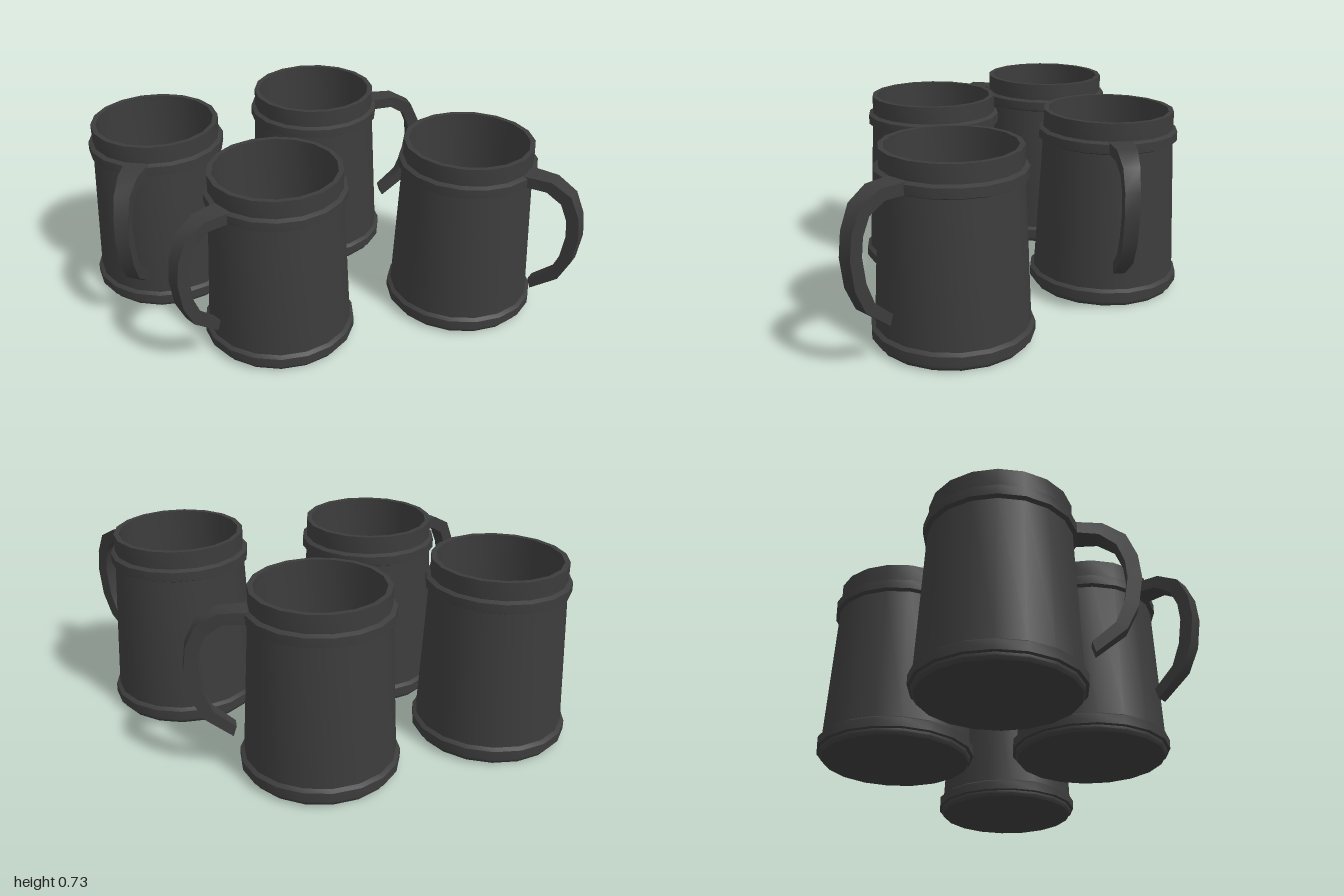
import * as THREE from 'three';
import { toCreasedNormals } from 'three/addons/utils/BufferGeometryUtils.js';

const material = new THREE.MeshStandardMaterial({ color: 0x3c3c3c });

// Tankard wall: underside, foot band, tapered body, upper band, rim, hollow inside
function bodyGeometry() {
  const profile = [
    [0, 0], [0.28, 0], [0.288, 0.012], [0.288, 0.022], [0.3, 0.025], [0.3, 0.06], [0.285, 0.07],
    [0.258, 0.605], [0.273, 0.612], [0.273, 0.648], [0.256, 0.656],
    [0.256, 0.725], [0.236, 0.725], [0.22, 0.06], [0, 0.06],
  ].map(([r, y]) => new THREE.Vector2(r, y));
  return toCreasedNormals(new THREE.LatheGeometry(profile, 18), 0.6);
}

// Handle: rectangular sections swept along a C curve, narrowing from the wall outwards
function handleGeometry() {
  // outer radius, outer y, inner radius, inner y, width
  const sections = [
    [0.255, 0.655, 0.255, 0.612, 0.095],
    [0.36, 0.655, 0.345, 0.61, 0.076],
    [0.44, 0.612, 0.405, 0.572, 0.062],
    [0.478, 0.53, 0.432, 0.508, 0.056],
    [0.489, 0.44, 0.439, 0.44, 0.055],
    [0.473, 0.33, 0.425, 0.345, 0.055],
    [0.43, 0.24, 0.392, 0.265, 0.053],
    [0.323, 0.155, 0.31, 0.195, 0.045],
  ];
  const positions = [];
  const index = [];
  for (const [ro, yo, ri, yi, w] of sections) {
    positions.push(ro, yo, w / 2, ro, yo, -w / 2, ri, yi, -w / 2, ri, yi, w / 2);
  }
  for (let s = 0; s < sections.length - 1; s++) {
    for (let k = 0; k < 4; k++) {
      const a = s * 4 + k;
      const b = s * 4 + (k + 1) % 4;
      index.push(a, a + 4, b, b, a + 4, b + 4);
    }
  }
  const e = (sections.length - 1) * 4;
  index.push(0, 1, 2, 0, 2, 3, e, e + 2, e + 1, e, e + 3, e + 2);
  const geometry = new THREE.BufferGeometry();
  geometry.setAttribute('position', new THREE.Float32BufferAttribute(positions, 3));
  geometry.setIndex(index);
  return toCreasedNormals(geometry, 0.65);
}

export function createModel() {
  const model = new THREE.Group();
  model.name = 'tankards';
  const body = bodyGeometry();
  const handle = handleGeometry();

  // Centre x, z and handle direction x, z of each tankard
  const places = [
    [-0.255, -0.43, 0.375, -0.305],
    [0.515, -0.23, 0.48, 0.065],
    [-0.7, 0.135, 0.135, 0.465],
    [-0.065, 0.295, -0.175, 0.44],
  ];
  places.forEach(([x, z, dx, dz], i) => {
    const tankard = new THREE.Group();
    tankard.name = `tankard${i + 1}`;
    const bodyMesh = new THREE.Mesh(body, material);
    bodyMesh.name = 'body';
    const handleMesh = new THREE.Mesh(handle, material);
    handleMesh.name = 'handle';
    tankard.add(bodyMesh, handleMesh);
    tankard.position.set(x, 0, z);
    tankard.rotation.y = Math.atan2(-dz, dx);
    model.add(tankard);
  });
  return model;
}
